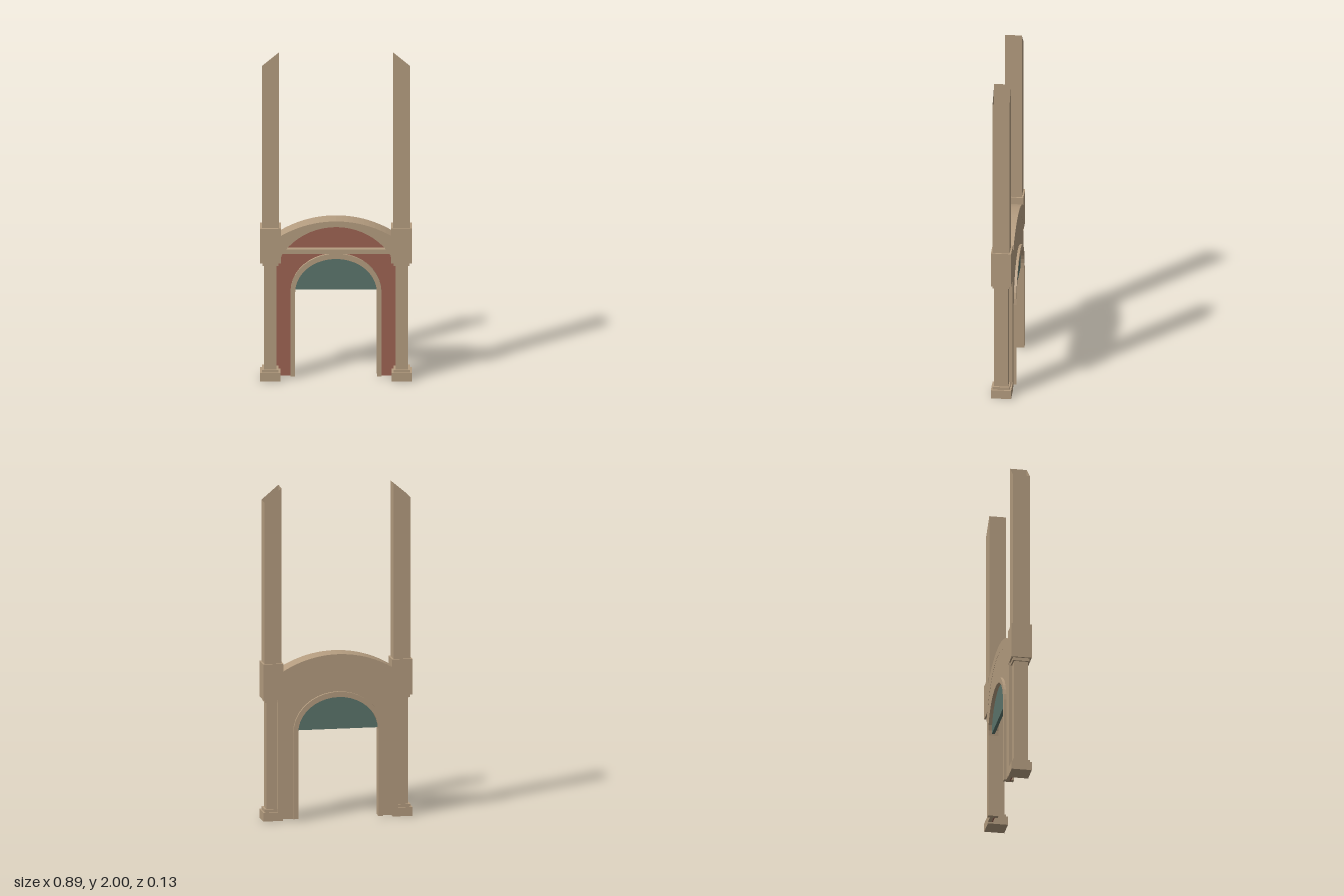
import * as THREE from 'three';

const stone = new THREE.MeshStandardMaterial({ color: 0xb59d80 });
stone.name = 'sandstone';
const stoneThin = stone; // same colour for the hollow shafts
stoneThin.side = THREE.DoubleSide;
const red = new THREE.MeshStandardMaterial({ color: 0x9e6353 });
red.name = 'redPlaster';
const teal = new THREE.MeshStandardMaterial({ color: 0x5c756c });
teal.name = 'tealGlass';

function add(parent, name, geometry, material) {
  const mesh = new THREE.Mesh(geometry, material);
  mesh.name = name;
  parent.add(mesh);
  return mesh;
}

// box given by its limits on each axis
function span(x0, x1, y0, y1, z0, z1) {
  return new THREE.BoxGeometry(x1 - x0, y1 - y0, z1 - z0)
    .translate((x0 + x1) / 2, (y0 + y1) / 2, (z0 + z1) / 2);
}

// plate cut from an outline, between two depths
function plate(points, z0, z1) {
  return new THREE.ExtrudeGeometry(new THREE.Shape(points), { depth: z1 - z0, bevelEnabled: false })
    .translate(0, 0, z0);
}

// circular segment through (-half, low), (0, top), (half, low), left to right
function segmentArc(half, low, top, n = 20) {
  const rise = top - low;
  const r = (half * half + rise * rise) / (2 * rise);
  const a = Math.asin(half / r);
  const pts = [];
  for (let i = 0; i <= n; i++) {
    const t = -a + (2 * a * i) / n;
    pts.push(new THREE.Vector2(r * Math.sin(t), top - r + r * Math.cos(t)));
  }
  return pts;
}

// door outline: two legs and an elliptical head, left to right
function doorLine(rx, ry, bottom, spring = 0.53, n = 20) {
  const pts = [new THREE.Vector2(-rx, bottom)];
  for (let i = 0; i <= n; i++) {
    const t = Math.PI * (1 - i / n);
    pts.push(new THREE.Vector2(rx * Math.cos(t), spring + ry * Math.sin(t)));
  }
  pts.push(new THREE.Vector2(rx, bottom));
  return pts;
}

const v = (x, y) => new THREE.Vector2(x, y);

function createPillar() {
  const g = new THREE.Group();
  add(g, 'pillarBase', span(0.328, 0.447, 0, 0.053, -0.055, 0.065), stone);
  add(g, 'pillarBaseStep', span(0.338, 0.437, 0.053, 0.07, -0.045, 0.055), stone);
  add(g, 'pillarShaft', span(0.349, 0.424, 0.07, 0.715, -0.036, 0.048), stone);
  add(g, 'pillarNeck', span(0.338, 0.434, 0.712, 0.732, -0.045, 0.055), stone);

  // capital block, open where the upper shaft stands
  const ring = new THREE.Shape([v(0.325, -0.065), v(0.447, -0.065), v(0.447, 0.055), v(0.325, 0.055)]);
  ring.holes.push(new THREE.Path([v(0.336, -0.055), v(0.336, 0.045), v(0.437, 0.045), v(0.437, -0.055)]));
  const block = new THREE.ExtrudeGeometry(ring, { depth: 0.215, bevelEnabled: false });
  add(g, 'capitalBlock', block.rotateX(-Math.PI / 2).translate(0, 0.73, 0), stone);

  // hollow upper shaft with a mitred top
  const tube = span(0.336, 0.437, 0.945, 2, -0.045, 0.055);
  const pos = tube.attributes.position;
  for (let i = 0; i < pos.count; i++) {
    if (pos.getY(i) > 1.5 && pos.getX(i) > 0.4) pos.setY(i, 1.915);
  }
  // leave out the top and bottom faces
  tube.setIndex(Array.from(tube.index.array).filter((_, i) => i < 12 || i >= 24));
  add(g, 'upperShaft', tube, stoneThin);
  return g;
}

export function createModel() {
  const model = new THREE.Group();
  model.name = 'archedGateway';

  // the two pillars, the right one turned into a mirror image
  const left = createPillar();
  left.name = 'leftPillar';
  const right = createPillar();
  right.name = 'rightPillar';
  right.children.forEach((m) => {
    m.geometry.scale(-1, 1, 1);
    const geo = m.geometry;
    if (!geo.index) geo.setIndex([...Array(geo.attributes.position.count).keys()]);
    const idx = geo.index;
    for (let i = 0; i < idx.count; i += 3) {
      const a = idx.getX(i);
      idx.setX(i, idx.getX(i + 2));
      idx.setX(i + 2, a);
    }
  });
  model.add(left, right);

  // wall behind the arch: stone at the back, plaster at the front
  const door = doorLine(0.255, 0.22, 0.01);
  const crown = segmentArc(0.428, 0.823, 0.99, 28);
  const wall = [
    v(-0.36, 0.01), v(-0.36, 0.74), v(-0.428, 0.74), ...crown,
    v(0.428, 0.74), v(0.36, 0.74), v(0.36, 0.01), ...door.slice().reverse(),
  ];
  add(model, 'backWall', plate(wall, -0.054, -0.032), stone);
  const panel = [
    v(-0.36, 0.01), v(-0.36, 0.76), ...segmentArc(0.34, 0.77, 0.96),
    v(0.36, 0.76), v(0.36, 0.01), ...door.slice().reverse(),
  ];
  add(model, 'plasterPanel', plate(panel, -0.032, -0.025), red);

  // crowning arch in two steps
  const archBand = (half, top) => [
    v(-0.428, 0.75), ...crown, v(0.428, 0.75), v(half, 0.75),
    ...segmentArc(half, 0.765, top).reverse(), v(-half, 0.75),
  ];
  add(model, 'crownArch', plate(archBand(0.33, 0.955), 0, 0.065), stone);
  add(model, 'crownArchStep', plate(archBand(0.322, 0.94), -0.055, 0.0), stone);

  // ledge across the panel
  add(model, 'ledge', span(-0.33, 0.33, 0.782, 0.8, -0.026, 0.012), stone);
  add(model, 'ledgeStep', span(-0.33, 0.33, 0.768, 0.782, -0.026, 0.002), stone);

  // door surround and its glazed head
  const surround = [...doorLine(0.268, 0.237, 0.01), ...doorLine(0.24, 0.205, 0.01).reverse()];
  add(model, 'doorSurround', plate(surround, -0.069, -0.008), stone);
  add(model, 'fanlight', plate(doorLine(0.241, 0.196, 0.54, 0.541), -0.048, -0.03), teal);

  return model;
}
